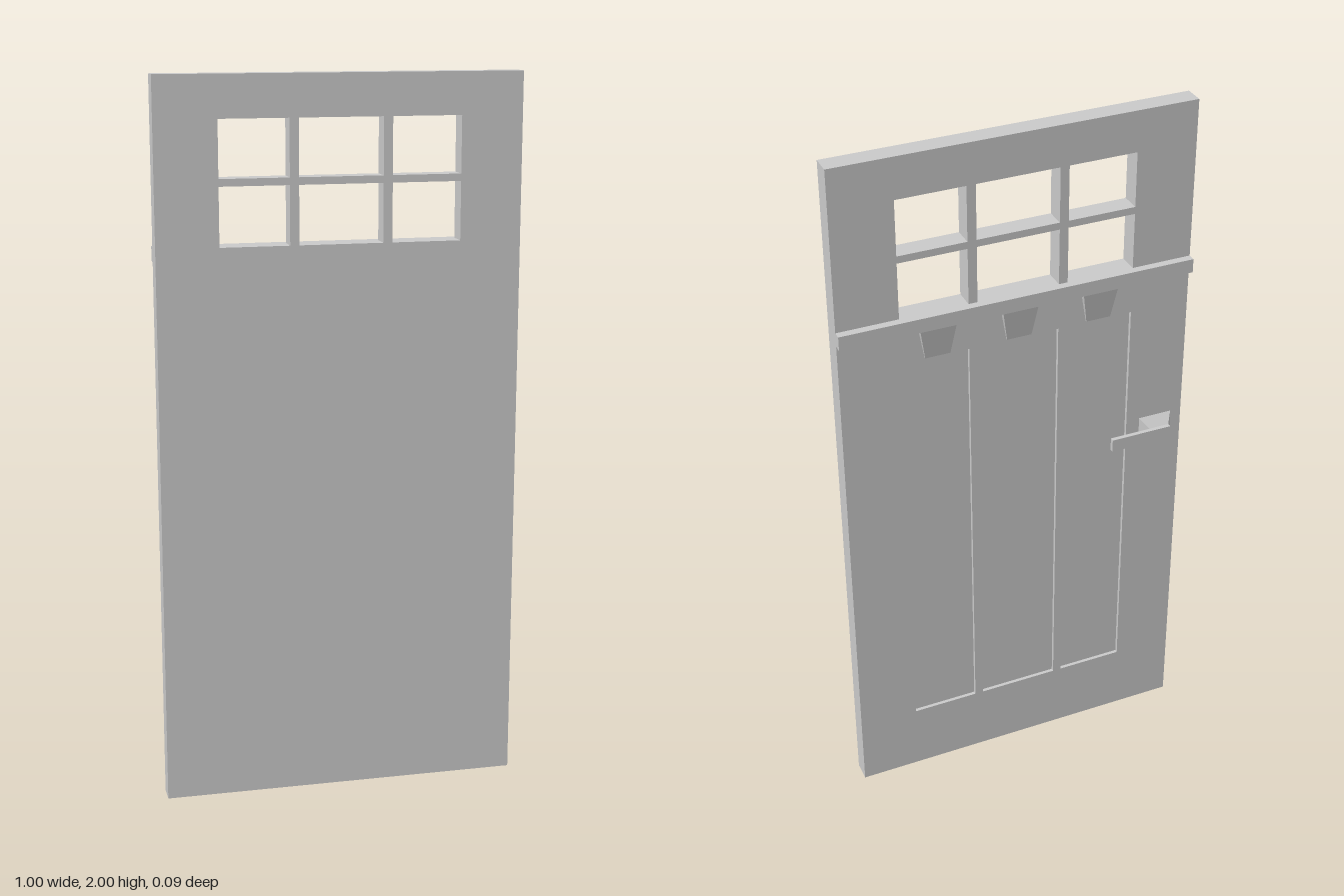
import * as THREE from 'three';

const material = new THREE.MeshStandardMaterial({ color: 0xcccccc, flatShading: true });

const BACK = -0.009, RECESS = 0.001, FRONT = 0.047;
const COLUMNS = [[-0.33, -0.14], [-0.115, 0.115], [0.14, 0.33]];
const WINDOW_ROWS = [[1.55, 1.71], [1.73, 1.885]];
const PANEL_ROWS = [[0.205, 1.415]];

function rectangle(Type, x0, x1, y0, y1) {
  return new Type([[x0, y0], [x1, y0], [x1, y1], [x0, y1]].map(p => new THREE.Vector2(...p)));
}

// Slab with a rectangular hole for every column in each given row
function slab(name, rows, z0, z1) {
  const shape = rectangle(THREE.Shape, -0.5, 0.5, 0, 2);
  for (const [y0, y1] of rows)
    for (const [x0, x1] of COLUMNS) shape.holes.push(rectangle(THREE.Path, x0, x1, y0, y1));
  const geometry = new THREE.ExtrudeGeometry(shape, { depth: z1 - z0, bevelEnabled: false });
  return part(name, geometry.translate(0, 0, z0));
}

// Box given by its limits, with an optional rule that moves its corners
function block(name, [x0, x1], [y0, y1], [z0, z1], rule) {
  const geometry = new THREE.BoxGeometry(x1 - x0, y1 - y0, z1 - z0);
  geometry.translate((x0 + x1) / 2, (y0 + y1) / 2, (z0 + z1) / 2);
  if (rule) {
    const p = geometry.attributes.position, v = new THREE.Vector3();
    for (let i = 0; i < p.count; i++) {
      rule(v.fromBufferAttribute(p, i));
      p.setXYZ(i, v.x, v.y, v.z);
    }
    geometry.computeVertexNormals();
  }
  return part(name, geometry);
}

function part(name, geometry) {
  const mesh = new THREE.Mesh(geometry, material);
  mesh.name = name;
  return mesh;
}

export function createModel() {
  const door = new THREE.Group();
  door.name = 'door';

  // Plain front leaf, and a back frame whose openings form the recessed panels
  door.add(slab('frontLeaf', WINDOW_ROWS, RECESS, FRONT));
  door.add(slab('backFrame', [...WINDOW_ROWS, ...PANEL_ROWS], BACK, RECESS));

  // Ledge under the windows with three tapering brackets
  door.add(block('ledge', [-0.5, 0.5], [1.51, 1.55], [-0.031, BACK]));
  for (const x of [-0.23, 0, 0.23]) {
    door.add(block('bracket', [x - 0.05, x + 0.05], [1.42, 1.51], [-0.026, BACK], v => {
      if (v.y > 1.46) return;
      v.x = x + (v.x - x) * 0.7;
      if (v.z < -0.02) v.z = -0.014;
    }));
  }

  // Handle: a flared mount against the door and a flat lever
  const handle = new THREE.Group();
  handle.name = 'handle';
  handle.add(block('handleMount', [-0.45, -0.39], [0.997, 1.035], [-0.035, BACK], v => {
    if (v.z < -0.02) return;
    v.x += v.x < -0.42 ? -0.018 : 0.02;
    v.y += v.y < 1.01 ? -0.025 : 0.025;
  }));
  handle.add(block('lever', [-0.45, -0.27], [0.997, 1.035], [-0.047, -0.035]));
  door.add(handle);

  return door;
}
